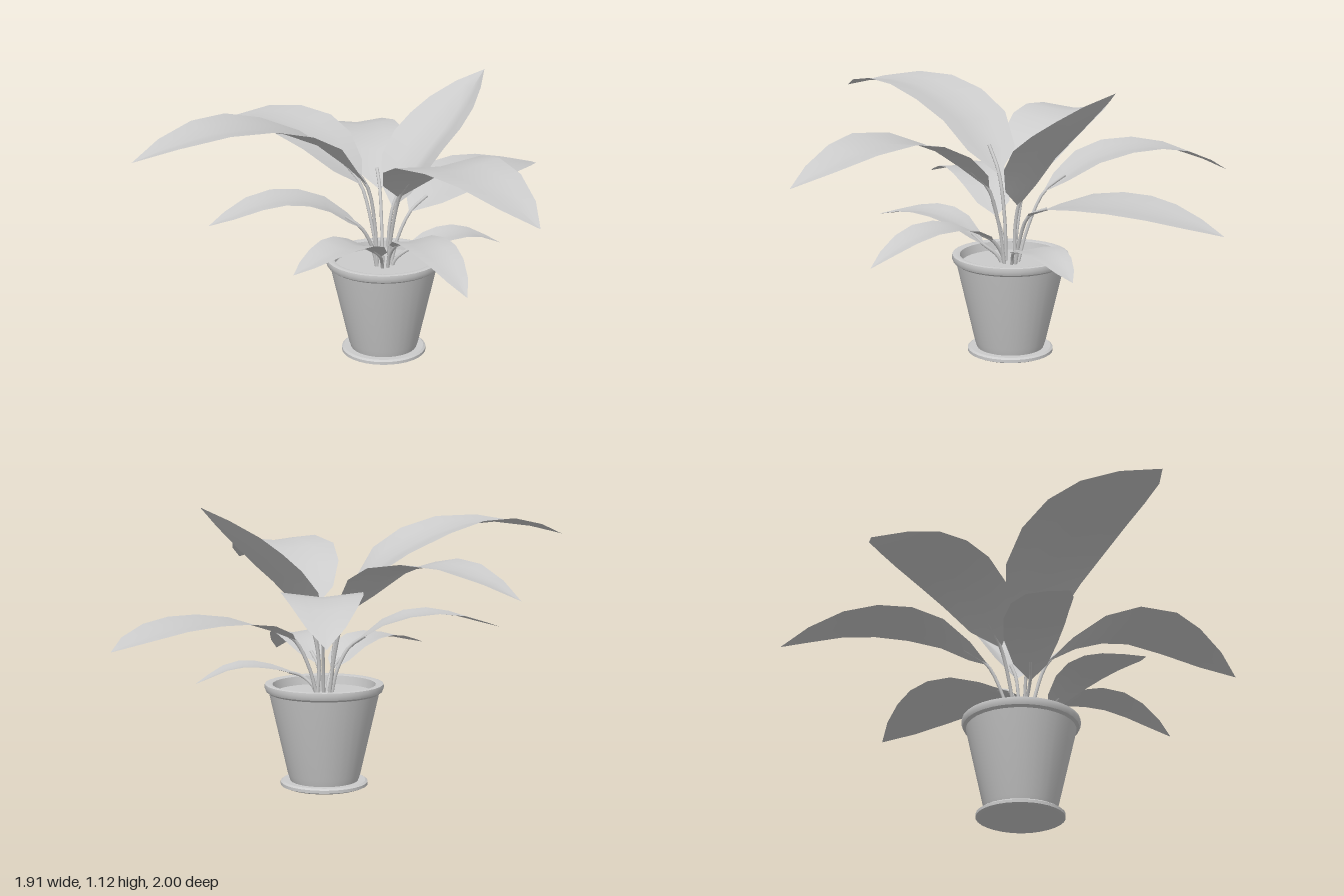
import * as THREE from 'three';
import { toCreasedNormals } from 'three/addons/utils/BufferGeometryUtils.js';

const PX = -0.068, PZ = -0.055; // pot axis
const grey = new THREE.MeshStandardMaterial({ color: 0xcccccc });
const thin = new THREE.MeshStandardMaterial({ color: 0xcccccc, side: THREE.DoubleSide });

// Relative half width from leaf base to tip
const WIDTH = [[0, 0.05], [0.1, 0.56], [0.25, 0.88], [0.4, 1], [0.55, 0.95], [0.7, 0.77], [0.86, 0.45], [1, 0]];

function mesh(name, geometry, material = grey) {
  const m = new THREE.Mesh(geometry, material);
  m.name = name;
  return m;
}

function lathe(name, profile) {
  const g = new THREE.LatheGeometry(profile.map(([r, y]) => new THREE.Vector2(r, y)), 32);
  const m = mesh(name, toCreasedNormals(g, 0.6), thin);
  m.position.set(PX, 0, PZ);
  return m;
}

// Blade: cross-sections along a spine, edges lifted into a shallow fold
function bladeGeometry(spine, half, fold) {
  const curve = new THREE.CatmullRomCurve3(spine);
  const across = [-1, -0.5, 0, 0.5, 1];
  const n = across.length;
  const pos = [], index = [];
  WIDTH.forEach(([t, w], i) => {
    const p = curve.getPointAt(t), tan = curve.getTangentAt(t);
    const side = new THREE.Vector3(-tan.z, 0, tan.x).normalize();
    const up = side.clone().cross(tan).normalize();
    for (const s of across) {
      const q = p.clone().addScaledVector(side, s * half * w)
        .addScaledVector(up, (Math.abs(s) - 0.4) * fold * half * w);
      pos.push(q.x, q.y, q.z);
    }
    if (i === 0) return;
    for (let j = 0; j < n - 1; j++) {
      const a = (i - 1) * n + j, b = a + n;
      index.push(a, a + 1, b, b, a + 1, b + 1);
    }
  });
  const g = new THREE.BufferGeometry();
  g.setAttribute('position', new THREE.Float32BufferAttribute(pos, 3));
  g.setIndex(index);
  g.computeVertexNormals();
  return g;
}

// Leaf with its stem rising from the soil
function leaf(name, half, fold, points) {
  const group = new THREE.Group();
  group.name = name;
  const spine = points.map(p => new THREE.Vector3(...p));
  const base = spine[0];
  const dir = new THREE.Vector3(base.x - PX, 0, base.z - PZ).normalize();
  const root = new THREE.Vector3(PX + dir.x * 0.03, 0.36, PZ + dir.z * 0.03);
  const mid = root.clone().lerp(base, 0.5);
  mid.x -= dir.x * 0.015;
  mid.z -= dir.z * 0.015;
  const inside = new THREE.CatmullRomCurve3(spine).getPointAt(0.12);
  const path = new THREE.CatmullRomCurve3([root, mid, base, inside]);
  group.add(mesh('stem', new THREE.TubeGeometry(path, 10, 0.007, 6)));
  group.add(mesh('blade', bladeGeometry(spine, half, fold), thin));
  return group;
}

export function createModel() {
  const model = new THREE.Group();
  model.name = 'pottedPlant';

  // Pot, saucer and soil
  model.add(lathe('saucer', [[0, 0], [0.16, 0], [0.174, 0.006], [0.174, 0.018], [0.165, 0.024], [0, 0.02]]));
  model.add(lathe('pot', [[0, 0.02], [0.135, 0.02], [0.145, 0.05], [0.219, 0.375], [0.231, 0.383],
    [0.237, 0.398], [0.235, 0.412], [0.225, 0.415], [0.205, 0.41], [0.197, 0.36]]));
  const soil = mesh('soil', new THREE.CircleGeometry(0.2, 32).rotateX(-Math.PI / 2));
  soil.position.set(PX, 0.375, PZ);
  model.add(soil);

  // Leaves: half width, fold, spine from base to tip
  model.add(leaf('uprightLeaf', 0.17, 0.4,
    [[-0.06, 0.62, -0.1], [-0.05, 0.79, -0.2], [-0.03, 0.92, -0.34], [-0.02, 1.03, -0.47], [-0.01, 1.12, -0.575]]));
  model.add(leaf('frontLeaf', 0.19, 0.15,
    [[-0.09, 0.73, 0.02], [-0.15, 0.88, 0.15], [-0.18, 0.97, 0.3], [-0.21, 1.04, 0.55], [-0.24, 1.03, 0.78], [-0.28, 0.975, 1]]));
  model.add(leaf('leftLeaf', 0.185, 0.1,
    [[0.05, 0.7, -0.03], [0.2, 0.84, 0.02], [0.43, 0.935, 0.09], [0.66, 0.925, 0.12], [0.95, 0.83, 0.17]]));
  model.add(leaf('rightLeaf', 0.185, 0.12,
    [[-0.19, 0.7, -0.04], [-0.36, 0.85, 0], [-0.57, 0.915, 0.04], [-0.77, 0.9, 0.1], [-0.96, 0.81, 0.18]]));
  model.add(leaf('backRightLeaf', 0.15, 0.12,
    [[-0.18, 0.66, -0.14], [-0.35, 0.79, -0.26], [-0.54, 0.82, -0.38], [-0.7, 0.785, -0.48], [-0.87, 0.69, -0.59]]));
  model.add(leaf('backLeaf', 0.19, 0.08,
    [[-0.03, 0.59, -0.17], [-0.03, 0.66, -0.33], [-0.04, 0.69, -0.56], [-0.06, 0.675, -0.78], [-0.1, 0.62, -1]]));
  model.add(leaf('lowerFrontLeaf', 0.12, 0.1,
    [[-0.1, 0.55, 0.04], [-0.2, 0.66, 0.17], [-0.29, 0.69, 0.34], [-0.37, 0.62, 0.6]]));
  model.add(leaf('smallFrontLeaf', 0.1, 0.15,
    [[0, 0.45, 0.03], [0.03, 0.54, 0.15], [0.05, 0.565, 0.3], [0.06, 0.515, 0.535]]));
  model.add(leaf('smallLeftLeaf', 0.1, 0.12,
    [[0.02, 0.48, -0.03], [0.15, 0.55, 0], [0.3, 0.57, 0.05], [0.44, 0.535, 0.09], [0.575, 0.46, 0.13]]));
  model.add(leaf('smallBackLeaf', 0.09, 0.12,
    [[0, 0.44, -0.12], [0.05, 0.48, -0.25], [0.1, 0.485, -0.37], [0.16, 0.42, -0.51]]));
  return model;
}
